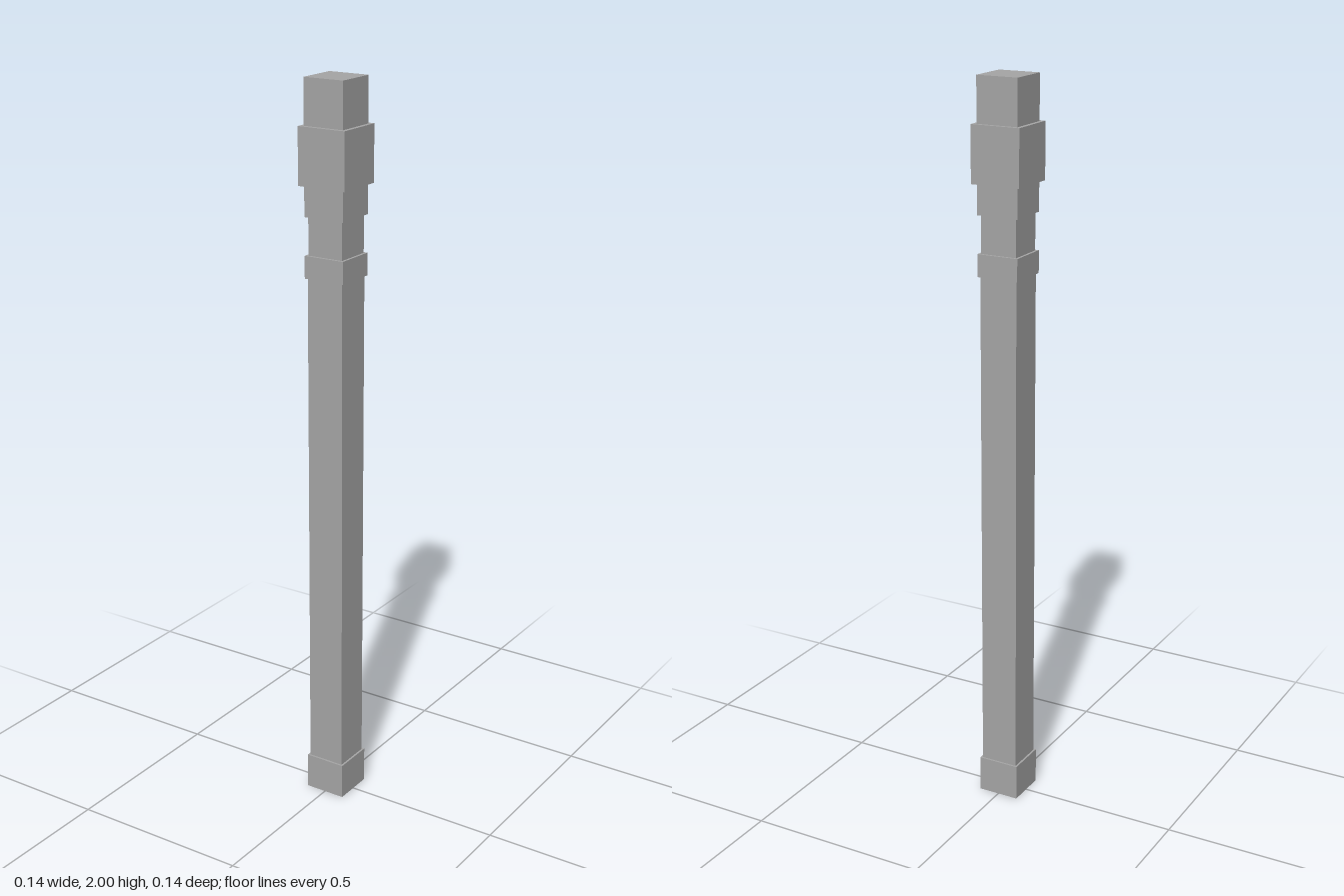
import * as THREE from 'three';

export function createModel() {
  const model = new THREE.Group();
  model.name = 'post';
  const stone = new THREE.MeshStandardMaterial({ color: 0xa6a6a6 });
  stone.name = 'stone grey';

  // Square sections stacked from the ground up: name, bottom, top, width
  const sections = [
    ['base', 0, 0.1, 0.116],
    ['shaft', 0.1, 1.49, 0.105],
    ['lowerRing', 1.49, 1.55, 0.116],
    ['neck', 1.55, 1.65, 0.102],
    ['upperCollar', 1.65, 1.73, 0.116],
    ['capitalBlock', 1.73, 1.88, 0.138],
    ['topBlock', 1.88, 2, 0.116],
  ];

  for (const [name, bottom, top, width] of sections) {
    const section = new THREE.Mesh(new THREE.BoxGeometry(width, top - bottom, width), stone);
    section.name = name;
    section.position.y = (bottom + top) / 2;
    model.add(section);
  }
  return model;
}
